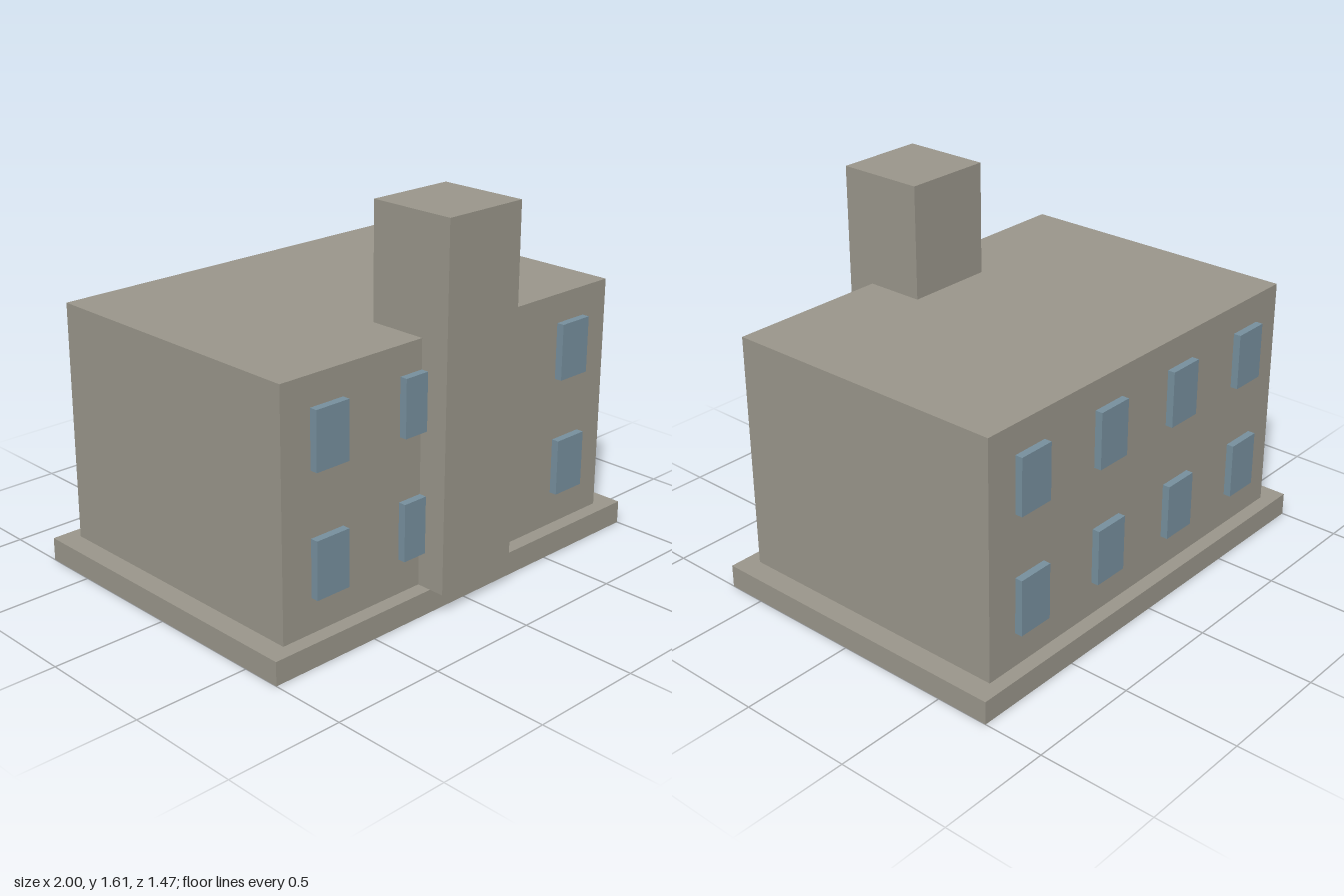
import * as THREE from 'three';

const concrete = new THREE.MeshStandardMaterial({ color: 0x99958a });
concrete.name = 'concrete';
const glass = new THREE.MeshStandardMaterial({ color: 0x768f9d });
glass.name = 'window blue';

// Box given by its minimum and maximum corners
function block(name, material, [x0, y0, z0], [x1, y1, z1]) {
  const mesh = new THREE.Mesh(new THREE.BoxGeometry(x1 - x0, y1 - y0, z1 - z0), material);
  mesh.position.set((x0 + x1) / 2, (y0 + y1) / 2, (z0 + z1) / 2);
  mesh.name = name;
  return mesh;
}

export function createModel() {
  const model = new THREE.Group();
  model.name = 'building';

  // Ground slab, main block and the tower on the front wall
  model.add(
    block('foundation', concrete, [-1, 0, -0.735], [1, 0.1, 0.67]),
    block('mainBlock', concrete, [-0.908, 0.1, -0.672], [0.905, 1.127, 0.606]),
    block('tower', concrete, [-0.197, 0.1, 0.346], [0.195, 1.613, 0.735]),
  );

  // Projecting windows: two storeys of four on the front and back walls
  const walls = [['frontWindow', 0.606, 0.639], ['backWindow', -0.704, -0.672]];
  for (const [name, z0, z1] of walls) {
    for (const y of [0.248, 0.76]) {
      for (const x of [-0.685, -0.23, 0.225, 0.68]) {
        model.add(block(name, glass, [x - 0.081, y, z0], [x + 0.081, y + 0.242, z1]));
      }
    }
  }
  return model;
}
